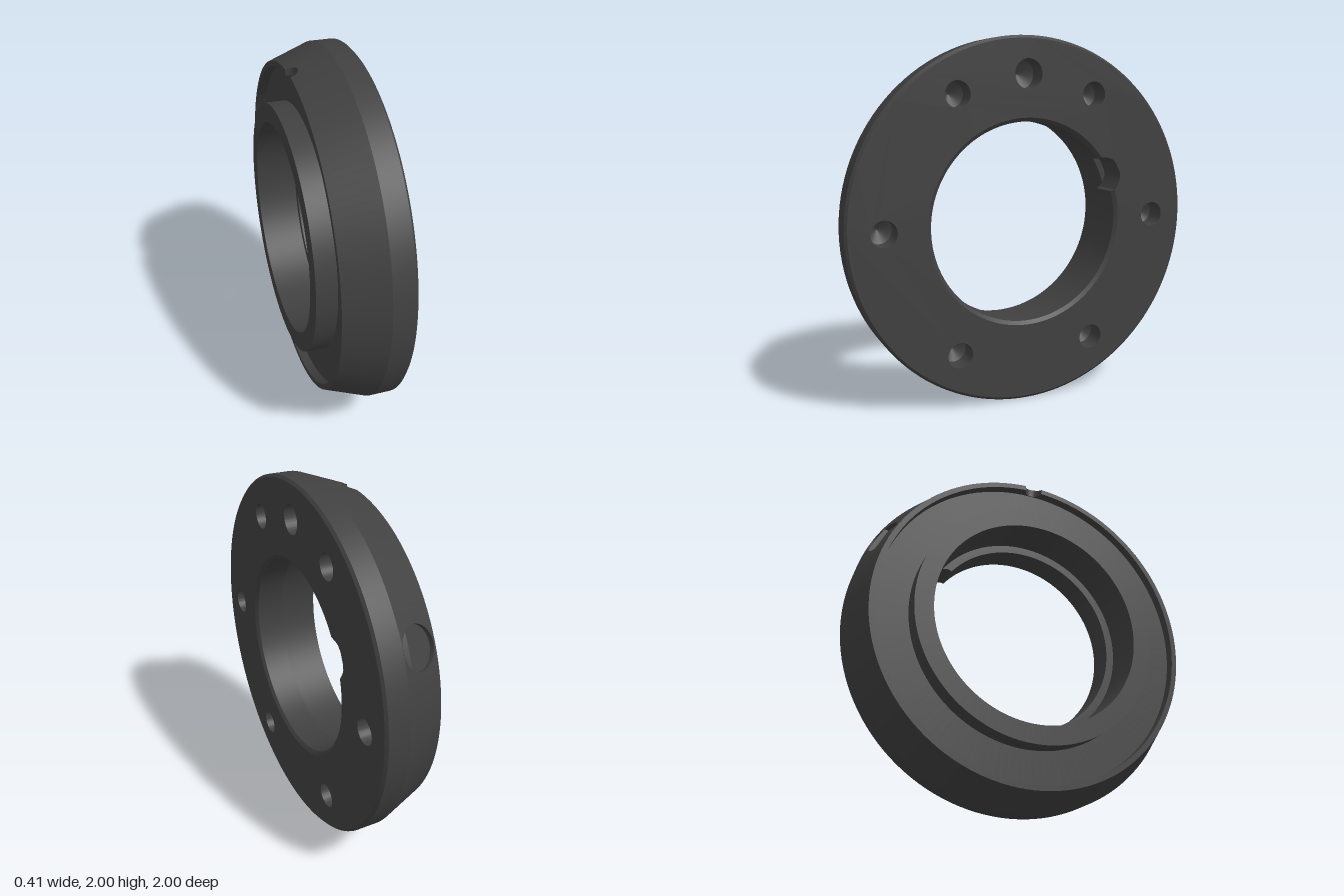
import * as THREE from 'three';
import { toCreasedNormals } from 'three/addons/utils/BufferGeometryUtils.js';
import { ParametricGeometry } from 'three/addons/geometries/ParametricGeometry.js';

const TAU = Math.PI * 2;
const material = new THREE.MeshStandardMaterial({ color: 0x404040, side: THREE.DoubleSide });

// Angles around the ring axis
const PLUG = Math.PI + 0.4625, PLUG_GAP = 0.15;
const SLOT = Math.PI * 1.5, SLOT_GAP = 0.055;
const LIP = 0.89, FLOOR = -0.098, BACK = -0.15;

const coneRadius = x => 0.92 + (x - BACK) * 0.08 / 0.22;
const at = (phi, r, x, target = new THREE.Vector3()) =>
  target.set(r * Math.sin(phi), x, r * Math.cos(phi));

function addMesh(parent, name, geometry, crease = 0.25) {
  const mesh = new THREE.Mesh(toCreasedNormals(geometry, crease), material);
  mesh.name = name;
  parent.add(mesh);
  return mesh;
}

// Lathe a [radius, x] profile over an arc
function turned(profile, start = 0, end = TAU) {
  const points = profile.map(p => new THREE.Vector2(...p));
  const segments = Math.max(4, Math.round(128 * (end - start) / TAU));
  return new THREE.LatheGeometry(points, segments, start, end - start);
}

// Wrap a flat (angle, x) shape round the axis
function wrapped(shape, phi, radiusAt) {
  const geometry = new THREE.ShapeGeometry(shape, 16);
  const pos = geometry.attributes.position, v = new THREE.Vector3();
  for (let i = 0; i < pos.count; i++) {
    at(phi + pos.getX(i), radiusAt(pos.getY(i)), pos.getY(i), v);
    pos.setXYZ(i, v.x, v.y, v.z);
  }
  return geometry;
}

// Rim surface with a round recess and a half-round slot
function addRim(parent) {
  const lip = [[LIP, FLOOR], [LIP, BACK], [0.92, BACK]];
  const cone = [[0.92, BACK], [1, 0.07]];
  addMesh(parent, 'rimLip', turned(lip, SLOT + SLOT_GAP, SLOT - SLOT_GAP + TAU));
  addMesh(parent, 'rimCone', turned(cone, PLUG + PLUG_GAP, SLOT - SLOT_GAP));
  addMesh(parent, 'rimCone', turned(cone, SLOT + SLOT_GAP, PLUG - PLUG_GAP + TAU));

  // Half-round slot through the lip
  const slotX = t => BACK + 0.05 * Math.sin(t);
  const around = top => {
    const s = new THREE.Shape();
    s.moveTo(SLOT_GAP, top);
    s.lineTo(-SLOT_GAP, top);
    for (let i = 0; i <= 16; i++) {
      const t = Math.PI * (1 - i / 16);
      s.lineTo(SLOT_GAP * Math.cos(t), Math.min(slotX(t), top - 0.001));
    }
    return s;
  };
  addMesh(parent, 'slotOuterEdge', wrapped(around(0.07), SLOT, coneRadius));
  addMesh(parent, 'slotInnerEdge', wrapped(around(FLOOR), SLOT, () => LIP));
  addMesh(parent, 'slotWall', new ParametricGeometry((u, v, target) => {
    const t = Math.PI * u, x = slotX(t);
    at(SLOT + SLOT_GAP * Math.cos(t), THREE.MathUtils.lerp(LIP, coneRadius(x), v), x, target);
  }, 16, 1));

  // Cone panel round the plug recess
  const cx = -0.036, halfX = 0.103, halfPhi = 0.115;
  const panel = new THREE.Shape();
  panel.moveTo(-PLUG_GAP, BACK);
  for (let i = 0; i <= 12; i++) panel.lineTo(PLUG_GAP * (i / 6 - 1), BACK);
  for (let i = 0; i <= 12; i++) panel.lineTo(PLUG_GAP * (1 - i / 6), 0.07);
  const opening = new THREE.Path();
  opening.absellipse(0, cx, halfPhi, halfX, 0, TAU, true);
  panel.holes.push(opening);
  addMesh(parent, 'plugSurround', wrapped(panel, PLUG, coneRadius));

  // Recess wall and flat plug face
  const centre = at(PLUG, coneRadius(cx), cx);
  const normal = at(PLUG, 0.22, -0.08).normalize();
  const bottom = centre.clone().addScaledVector(normal, -0.025);
  addMesh(parent, 'recessedPlug', new ParametricGeometry((u, v, target) => {
    const x = cx + halfX * Math.sin(u * TAU);
    at(PLUG + halfPhi * Math.cos(u * TAU), coneRadius(x), x, target);
    if (v > 0.25) {
      const height = target.clone().sub(bottom).dot(normal);
      target.addScaledVector(normal, -height);
    }
    if (v > 0.75) target.copy(bottom);
  }, 48, 2));
}

// Front slab with bolt holes, bore and notch
function addFace(parent) {
  const mid = 0.4625, gap = r => Math.asin(0.105 / r);
  const holes = [[0, 0.8, 0.08]];
  for (let i = 0; i < 6; i++) {
    const a = i * Math.PI / 3;
    holes.push([0.8 * Math.cos(a), 0.8 * Math.sin(a), 0.07]);
  }
  const slab = new THREE.Shape().absarc(0, 0, 0.985, 0, TAU, false);
  for (const [x, y, r] of holes) slab.holes.push(new THREE.Path().absarc(x, y, r, 0, TAU, true));
  const bore = new THREE.Path();
  bore.absarc(0, 0, 0.57, mid + gap(0.57), mid - gap(0.57) + TAU, false);
  for (const [d, t] of [[0.6, -0.08], [0.62, -0.06], [0.63, -0.03], [0.63, 0.03], [0.62, 0.06], [0.6, 0.08]]) {
    bore.lineTo(d * Math.cos(mid) - t * Math.sin(mid), d * Math.sin(mid) + t * Math.cos(mid));
  }
  bore.closePath();
  slab.holes.push(bore);

  const collar = new THREE.Shape();
  collar.absarc(0, 0, 0.57, mid + gap(0.57), mid - gap(0.57) + TAU, false);
  collar.absarc(0, 0, 0.55, mid - gap(0.55) + TAU, mid + gap(0.55), true);
  collar.closePath();

  const extruded = (shape, depth) => new THREE.ExtrudeGeometry(shape,
    { depth, bevelEnabled: false, curveSegments: 64 }).translate(0, 0, 0.03).rotateY(Math.PI / 2);
  addMesh(parent, 'frontFace', extruded(slab, 0.17));
  addMesh(parent, 'boreCollar', extruded(collar, 0.155));

  // Drill-point bottoms of the bolt holes
  for (const [x, y, r] of holes) {
    const tip = new THREE.ConeGeometry(r, 0.045, 32, 1, true);
    tip.rotateZ(Math.PI / 2).translate(0.065, y, -x);
    addMesh(parent, 'boltHoleBottom', tip, 0.6);
  }
  const start = mid + gap(0.56) - Math.PI;
  const chamfer = turned([[0.57, 0.2], [0.55, 0.185]], start, start + TAU - 2 * gap(0.56));
  addMesh(parent, 'boreChamfer', chamfer.rotateZ(-Math.PI / 2));
}

export function createModel() {
  const ring = new THREE.Group();
  ring.name = 'flangeRing';

  const body = new THREE.Group();
  body.name = 'turnedBody';
  body.rotation.z = -Math.PI / 2;
  addMesh(body, 'rearBoss', turned([[0.66, 0.03], [0.595, 0.03], [0.595, -0.21],
    [0.7, -0.21], [0.7, FLOOR], [LIP, FLOOR]]));
  addMesh(body, 'outerBand', turned([[1, 0.07], [1, 0.187], [0.985, 0.2]]));
  addRim(body);

  ring.add(body);
  addFace(ring);
  ring.position.y = 1;

  const model = new THREE.Group();
  model.add(ring);
  return model;
}
